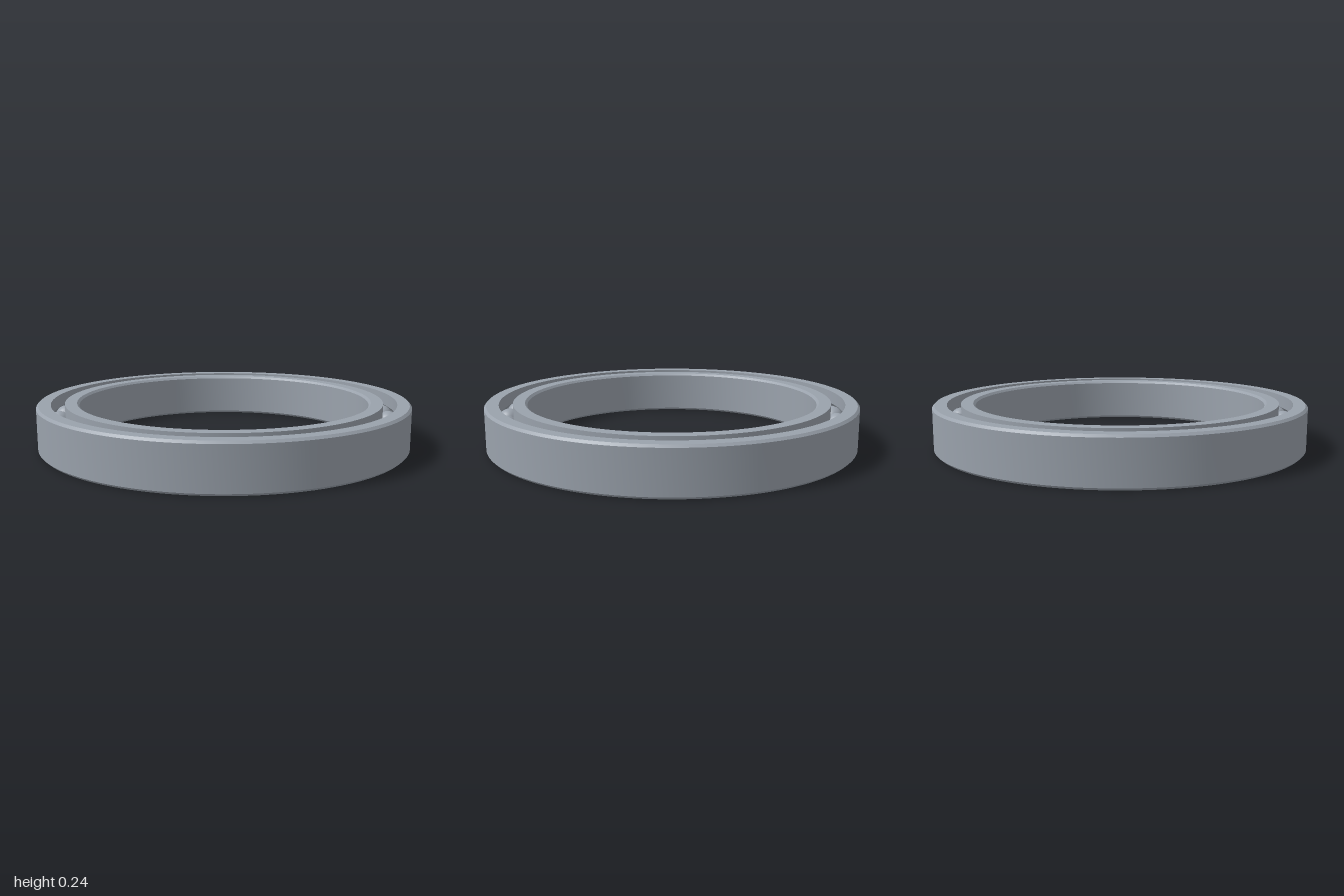
import * as THREE from 'three';
import { toCreasedNormals } from 'three/addons/utils/BufferGeometryUtils.js';

const HEIGHT = 0.24, CHAMFER = 0.012;
const PITCH = 0.889;        // radius of the circle of ball centres
const HALF_GAP = 0.036;     // half the open gap between the rings
const BALL = 0.062, GROOVE = 0.0635, BALL_COUNT = 32;

// Raceway arc from bottom to top; side is +1 for the outer ring, -1 for the inner
function raceway(side) {
  const a = Math.acos(HALF_GAP / GROOVE), n = 14, pts = [];
  for (let i = 0; i <= n; i++) {
    const t = -a + (2 * a * i) / n;
    pts.push([PITCH + side * GROOVE * Math.cos(t), HEIGHT / 2 + GROOVE * Math.sin(t)]);
  }
  return pts;
}

// Closed counter-clockwise profile spun into a ring with crisp edges
function ring(name, profile, material) {
  const pts = [...profile, profile[0]].map(([x, y]) => new THREE.Vector2(x, y));
  const geometry = toCreasedNormals(new THREE.LatheGeometry(pts, 128), Math.PI / 6);
  const mesh = new THREE.Mesh(geometry, material);
  mesh.name = name;
  return mesh;
}

export function createModel() {
  const model = new THREE.Group();
  model.name = 'ballBearing';
  const steel = new THREE.MeshStandardMaterial({ color: 0x9aa2ac });
  steel.name = 'steel';

  // Outer ring: chamfered outside, grooved inside
  const outer = 1, outerLip = PITCH + HALF_GAP;
  model.add(ring('outerRing', [
    [outer - CHAMFER, 0], [outer, CHAMFER], [outer, HEIGHT - CHAMFER], [outer - CHAMFER, HEIGHT],
    [outerLip, HEIGHT], ...raceway(1).reverse(), [outerLip, 0],
  ], steel));

  // Inner ring: grooved outside, chamfered bore
  const bore = 0.778, innerLip = PITCH - HALF_GAP;
  model.add(ring('innerRing', [
    [innerLip, 0], ...raceway(-1), [innerLip, HEIGHT],
    [bore + CHAMFER, HEIGHT], [bore, HEIGHT - CHAMFER], [bore, CHAMFER], [bore + CHAMFER, 0],
  ], steel));

  // Balls evenly spaced in the raceway
  const balls = new THREE.Group();
  balls.name = 'balls';
  const ballGeometry = new THREE.SphereGeometry(BALL, 32, 20);
  for (let i = 0; i < BALL_COUNT; i++) {
    const a = 0.012 + (i / BALL_COUNT) * Math.PI * 2;
    const ball = new THREE.Mesh(ballGeometry, steel);
    ball.name = 'ball';
    ball.position.set(PITCH * Math.sin(a), HEIGHT / 2, -PITCH * Math.cos(a));
    balls.add(ball);
  }
  model.add(balls);
  return model;
}
